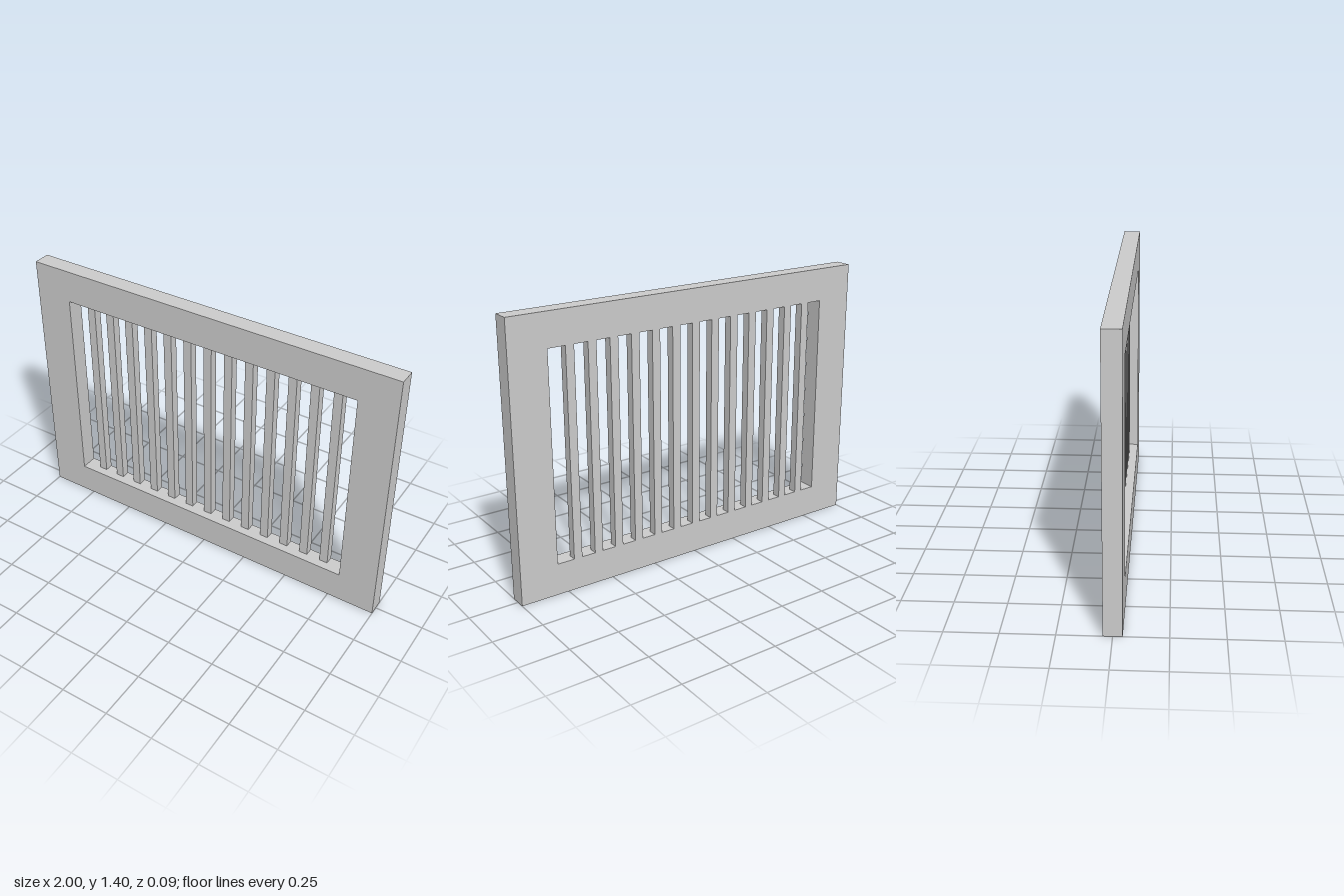
import * as THREE from 'three';

const WIDTH = 2, HEIGHT = 1.396, DEPTH = 0.088;
const OPENING = { left: -0.803, right: 0.803, bottom: 0.162, top: 1.226 };
const BAR_COUNT = 13, BAR_WIDTH = 0.044, BAR_DEPTH = DEPTH / 2;
const FIRST_BAR = -0.701, BAR_SPACING = 0.116;

function rectangle(target, x0, y0, x1, y1) {
  target.moveTo(x0, y0);
  target.lineTo(x1, y0);
  target.lineTo(x1, y1);
  target.lineTo(x0, y1);
  target.closePath();
  return target;
}

export function createModel() {
  const model = new THREE.Group();
  model.name = 'ventGrille';
  const material = new THREE.MeshStandardMaterial({ color: 0xcccccc });

  // Flat rectangular frame with a through opening
  const outline = rectangle(new THREE.Shape(), -WIDTH / 2, 0, WIDTH / 2, HEIGHT);
  outline.holes.push(rectangle(new THREE.Path(), OPENING.left, OPENING.bottom, OPENING.right, OPENING.top));
  const frameGeometry = new THREE.ExtrudeGeometry(outline, { depth: DEPTH, bevelEnabled: false });
  frameGeometry.translate(0, 0, -DEPTH / 2);
  const frame = new THREE.Mesh(frameGeometry, material);
  frame.name = 'frame';
  model.add(frame);

  // Upright bars, half as deep as the frame and flush with its back
  const bars = new THREE.Group();
  bars.name = 'bars';
  const barGeometry = new THREE.BoxGeometry(BAR_WIDTH, OPENING.top - OPENING.bottom, BAR_DEPTH);
  for (let i = 0; i < BAR_COUNT; i++) {
    const bar = new THREE.Mesh(barGeometry, material);
    bar.name = `bar${i + 1}`;
    bar.position.set(FIRST_BAR + i * BAR_SPACING, (OPENING.top + OPENING.bottom) / 2, (BAR_DEPTH - DEPTH) / 2);
    bars.add(bar);
  }
  model.add(bars);

  return model;
}
